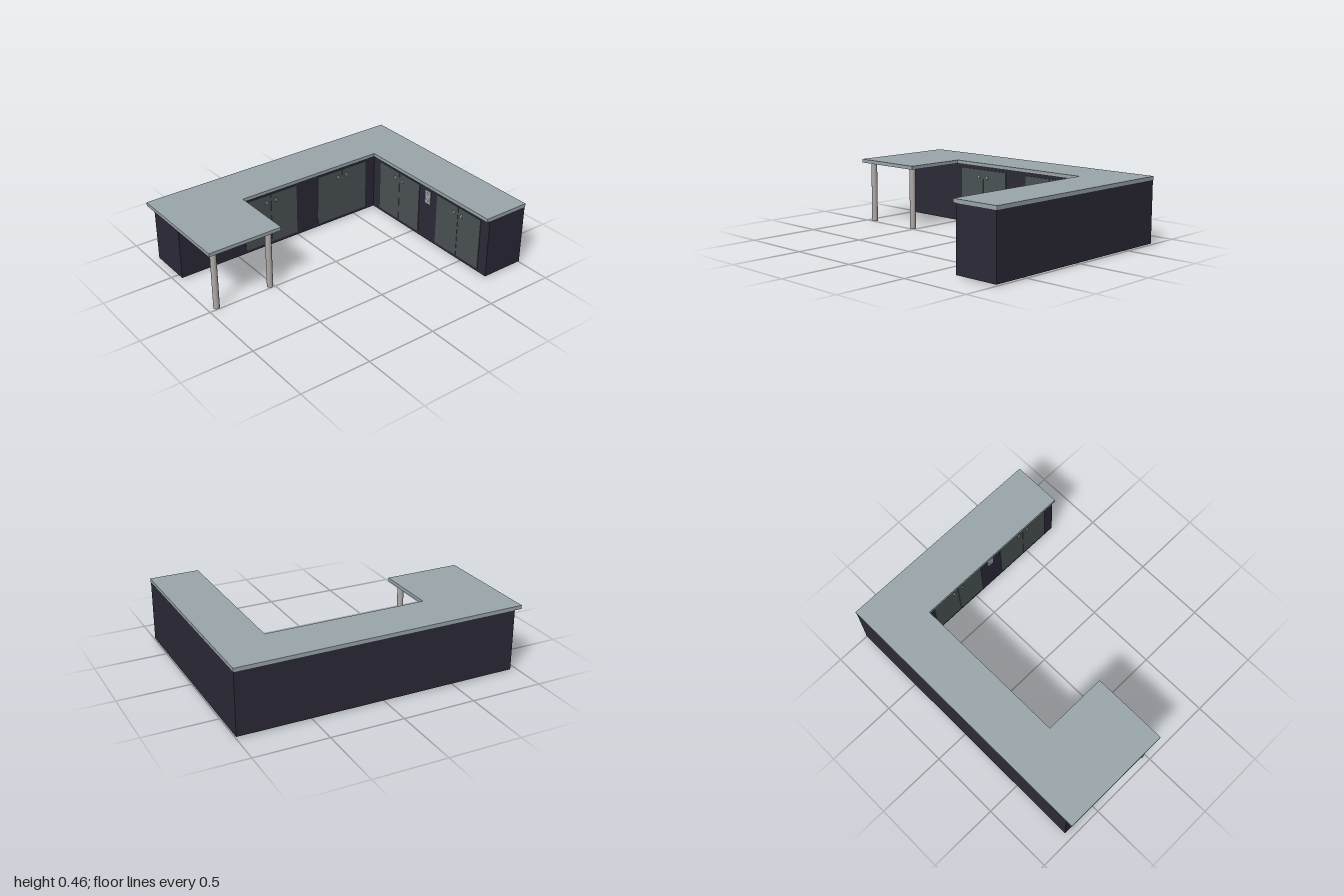
import * as THREE from 'three';

const mat = (color) => new THREE.MeshStandardMaterial({ color });

// Extrudes an [x, z] outline upward from y0 to y1
function slab(name, points, y0, y1, material) {
  const shape = new THREE.Shape(points.map(([x, z]) => new THREE.Vector2(x, -z)));
  const geo = new THREE.ExtrudeGeometry(shape, { depth: y1 - y0, bevelEnabled: false });
  geo.rotateX(-Math.PI / 2).translate(0, y0, 0);
  const mesh = new THREE.Mesh(geo, material);
  mesh.name = name;
  return mesh;
}

function part(name, geo, material, x, y, z) {
  const mesh = new THREE.Mesh(geo, material);
  mesh.name = name;
  mesh.position.set(x, y, z);
  return mesh;
}

export function createModel() {
  const model = new THREE.Group();
  model.name = 'cornerCounter';
  const topMat = mat(0x9ba7ac);
  const baseMat = mat(0x2c2a38);
  const doorMat = mat(0x4b5355);
  const legMat = mat(0xb0aaa8);
  const slotMat = mat(0x555c60);

  // Worktop with a short peninsula at the front
  model.add(slab('worktop', [
    [-0.76, -1], [0.757, -1], [0.757, -0.655], [-0.415, -0.655],
    [-0.415, 0.465], [0.038, 0.465], [0.038, 1], [-0.76, 1],
  ], 0.435, 0.46, topMat));

  // L-shaped cabinet body
  model.add(slab('cabinetBody', [
    [-0.757, -0.997], [0.755, -0.997], [0.755, -0.68], [-0.442, -0.68],
    [-0.442, 0.95], [-0.757, 0.95],
  ], 0.008, 0.435, baseMat));

  // Pair of doors with round knobs, facing +z
  const doorGeo = new THREE.BoxGeometry(0.212, 0.376, 0.006);
  const stemGeo = new THREE.CylinderGeometry(0.005, 0.005, 0.008, 12).rotateX(Math.PI / 2);
  const knobGeo = new THREE.CylinderGeometry(0.01, 0.013, 0.006, 20).rotateX(Math.PI / 2);
  function doorPair() {
    const pair = new THREE.Group();
    pair.name = 'doorPair';
    for (const s of [-1, 1]) {
      pair.add(part('door', doorGeo, doorMat, s * 0.1075, 0.219, 0.002));
      pair.add(part('knobStem', stemGeo, topMat, s * 0.038, 0.355, 0.007));
      pair.add(part('knob', knobGeo, topMat, s * 0.038, 0.355, 0.012));
    }
    return pair;
  }
  for (const x of [-0.148, 0.463]) {
    const pair = doorPair();
    pair.position.set(x, 0, -0.68);
    model.add(pair);
  }
  for (const z of [0.228, -0.382]) {
    const pair = doorPair();
    pair.position.set(-0.442, 0, z);
    pair.rotation.y = Math.PI / 2;
    model.add(pair);
  }

  // Wall outlet between the back doors
  const outlet = new THREE.Group();
  outlet.name = 'outlet';
  outlet.position.set(0.157, 0.347, -0.68);
  outlet.add(part('outletPlate', new THREE.BoxGeometry(0.05, 0.098, 0.006), topMat, 0, 0, 0.002));
  const slotGeo = new THREE.BoxGeometry(0.004, 0.012, 0.001);
  const pinGeo = new THREE.CylinderGeometry(0.003, 0.003, 0.001, 10).rotateX(Math.PI / 2);
  for (const y of [-0.023, 0.023]) {
    for (const x of [-0.008, 0.008]) outlet.add(part('outletSlot', slotGeo, slotMat, x, y + 0.004, 0.005));
    outlet.add(part('outletPin', pinGeo, slotMat, 0, y - 0.009, 0.005));
  }
  model.add(outlet);

  // Round legs under the peninsula
  const legGeo = new THREE.CylinderGeometry(0.021, 0.021, 0.437, 24);
  for (const z of [0.938, 0.527]) model.add(part('leg', legGeo, legMat, -0.023, 0.2185, z));

  return model;
}
